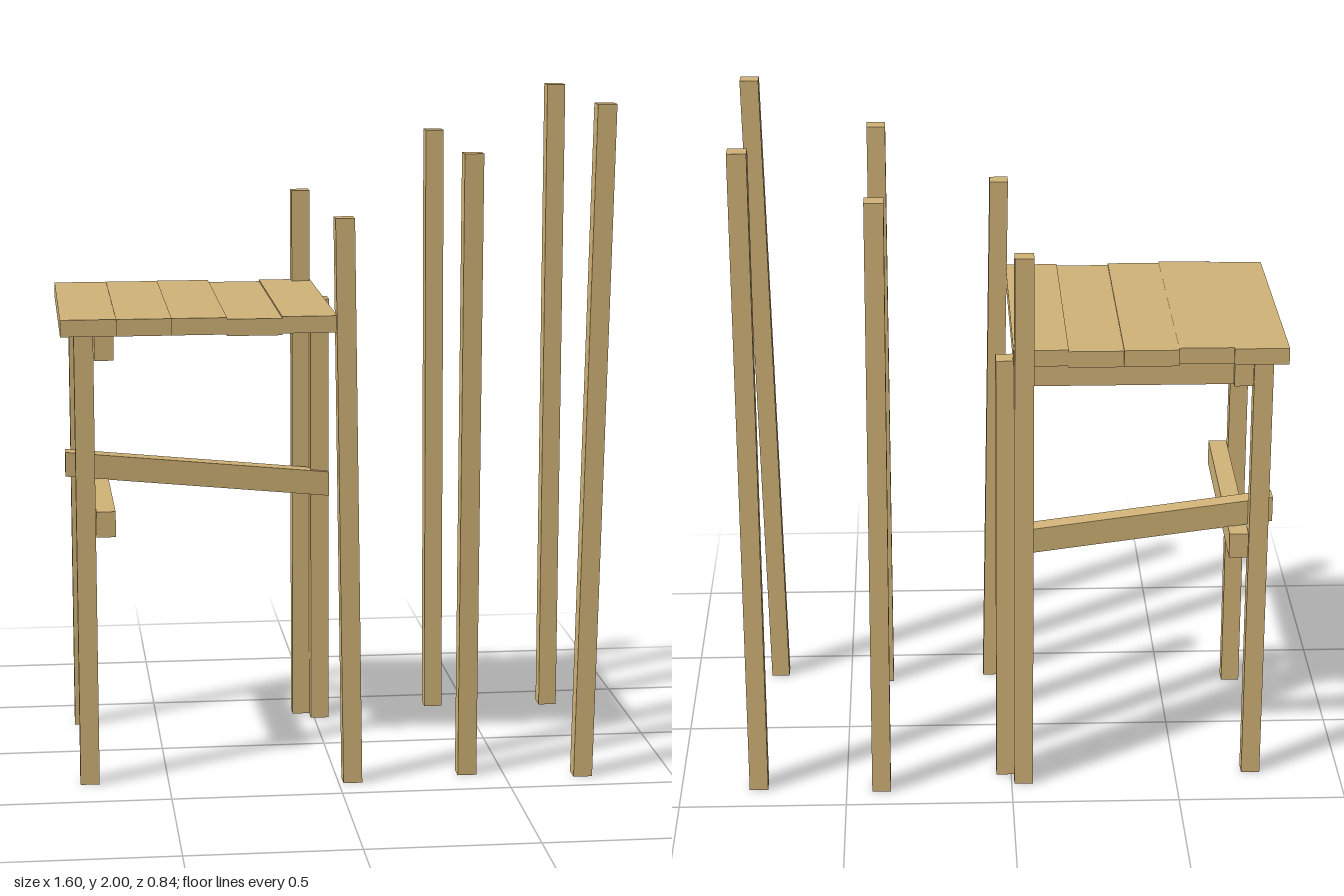
import * as THREE from 'three';

const wood = new THREE.MeshStandardMaterial({ color: 0xd2b478, flatShading: true, side: THREE.DoubleSide });

// Square bar whose two ends are centred on a and b; the ends stay square to the given axis.
function bar(name, a, b, size, axis, openBottom = false) {
  const geo = new THREE.BoxGeometry(...size);
  const p = geo.attributes.position;
  const half = size[axis] / 2;
  for (let i = 0; i < p.count; i++) {
    const v = [p.getX(i), p.getY(i), p.getZ(i)];
    const t = (v[axis] + half) / (2 * half);
    v[axis] = 0;
    p.setXYZ(i, ...v.map((c, k) => c + a[k] + (b[k] - a[k]) * t));
  }
  if (openBottom) {
    const idx = Array.from(geo.index.array);
    idx.splice(18, 6); // the downward face
    geo.setIndex(idx);
    geo.clearGroups();
  }
  geo.computeVertexNormals();
  const mesh = new THREE.Mesh(geo, wood);
  mesh.name = name;
  return mesh;
}

export function createModel() {
  const model = new THREE.Group();
  model.name = 'tableWithPosts';

  // Tabletop planks: z back, z front, height shift
  const planks = [
    [-0.375, 0.397, 0], [-0.367, 0.405, 0.001], [-0.38, 0.397, 0],
    [-0.37, 0.395, -0.005], [-0.37, 0.395, 0],
  ];
  const top = new THREE.Group();
  top.name = 'tabletop';
  planks.forEach(([z0, z1, dy], i) => {
    const x = -0.72 + i * 0.159, y = 1.374 + dy;
    top.add(bar('plank', [x, y, z0], [x, y, z1], [0.159, 0.049, 1], 2));
  });
  model.add(top);

  // Uprights: name, bottom x and z, top x and z, height
  const uprights = [
    ['tableLeg', -0.732, 0.313, -0.732, 0.313, 1.35],
    ['tableLeg', -0.732, -0.31, -0.732, -0.31, 1.35],
    ['tableLeg', 0.017, -0.302, 0.017, -0.302, 1.35],
    ['shortPost', -0.036, -0.358, -0.036, -0.358, 1.68],
    ['shortPost', 0.042, 0.378, 0.017, 0.378, 1.68],
    ['middlePost', 0.395, -0.395, 0.388, -0.395, 1.86],
    ['middlePost', 0.39, 0.339, 0.39, 0.37, 1.86],
    ['tallPost', 0.766, -0.374, 0.766, -0.374, 2],
    ['tallPost', 0.731, 0.391, 0.77, 0.391, 2],
  ];
  for (const [name, bx, bz, tx, tz, h] of uprights) {
    const d = name === 'tableLeg' ? 0.048 : 0.055;
    model.add(bar(name, [bx, 0, bz], [tx, h, tz], [0.056, h, d], 1, true));
  }

  // Rails under the tabletop
  model.add(bar('sideRail', [-0.674, 1.31, -0.34], [-0.674, 1.31, 0.34], [0.056, 0.08, 0.68], 2));
  model.add(bar('backRail', [-0.7, 1.31, -0.293], [0.045, 1.31, -0.293], [0.745, 0.08, 0.056], 0));

  // Sloping lower stretchers
  model.add(bar('sideStretcher', [-0.674, 0.763, -0.34], [-0.674, 0.786, 0.335], [0.056, 0.076, 0.675], 2));
  model.add(bar('backStretcher', [-0.778, 0.853, -0.25], [0.045, 0.764, -0.293], [0.823, 0.076, 0.056], 0));

  return model;
}
